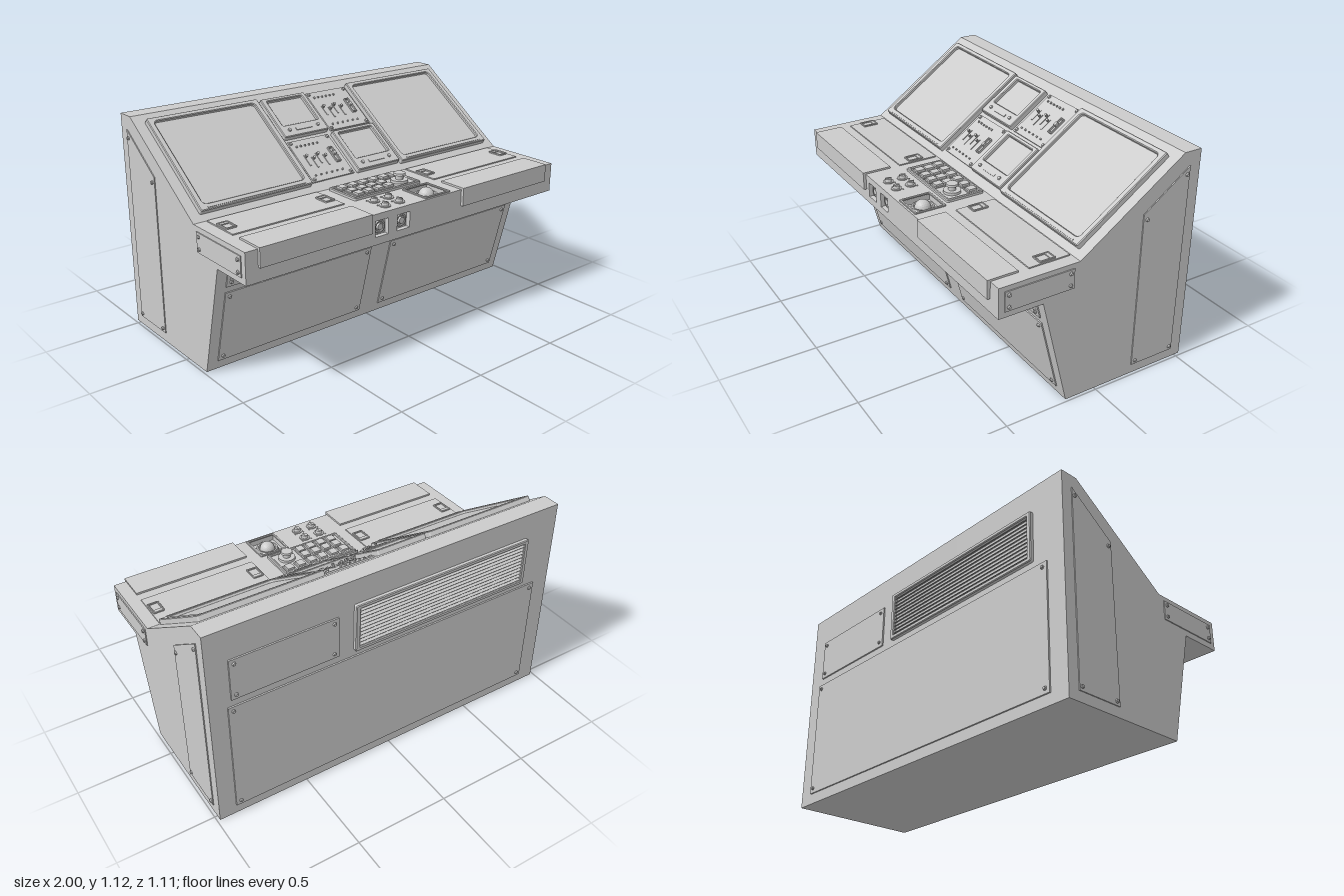
import * as THREE from 'three';

const material = new THREE.MeshStandardMaterial({ color: 0xcccccc, flatShading: true });

function add(parent, name, geometry) {
  const mesh = new THREE.Mesh(geometry, material);
  mesh.name = name;
  parent.add(mesh);
  return mesh;
}

// Box from its extents
function box(parent, name, x0, x1, y0, y1, z0, z1) {
  const mesh = add(parent, name, new THREE.BoxGeometry(x1 - x0, y1 - y0, z1 - z0));
  mesh.position.set((x0 + x1) / 2, (y0 + y1) / 2, (z0 + z1) / 2);
  return mesh;
}

// Round part standing on the local z axis
function disc(parent, name, x, y, z0, z1, r, r2 = r, sides = 20) {
  const geometry = new THREE.CylinderGeometry(r2, r, z1 - z0, sides).rotateX(Math.PI / 2);
  add(parent, name, geometry).position.set(x, y, (z0 + z1) / 2);
}

function ring(parent, name, x, y, z, r, tube) {
  add(parent, name, new THREE.TorusGeometry(r, tube, 6, 24)).position.set(x, y, z);
}

const bolt = (parent, x, y, z) => disc(parent, 'bolt', x, y, z, z + 0.008, 0.01, 0.007, 8);

// Rectangle path with rounded corners
function rounded(path, x0, x1, y0, y1, r) {
  path.moveTo(x0 + r, y0);
  for (const [cx, cy, a] of [[x1 - r, y0 + r, -0.5], [x1 - r, y1 - r, 0], [x0 + r, y1 - r, 0.5], [x0 + r, y0 + r, 1]])
    path.absarc(cx, cy, r, a * Math.PI, (a + 0.5) * Math.PI, false);
  return path;
}

// Raised frame around a rounded opening
function frame(parent, name, [x0, x1, y0, y1], [a0, a1, b0, b1], r, depth, bevel = 0.004) {
  const shape = rounded(new THREE.Shape(), x0 + bevel, x1 - bevel, y0 + bevel, y1 - bevel, 0.004);
  shape.holes.push(rounded(new THREE.Path(), a0 - bevel, a1 + bevel, b0 - bevel, b1 + bevel, r));
  add(parent, name, new THREE.ExtrudeGeometry(shape, {
    depth: depth - bevel, bevelThickness: bevel, bevelSize: bevel, bevelSegments: 1, curveSegments: 5 }));
}

// Thin plate with a bolt in every corner
function plate(parent, name, x0, x1, y0, y1, depth, inset = 0.025) {
  box(parent, name, x0, x1, y0, y1, 0, depth);
  for (const x of [x0 + inset, x1 - inset])
    for (const y of [y0 + inset, y1 - inset]) bolt(parent, x, y, depth);
}

// Group whose local z is the outward normal of one face of the cabinet
function face(root, name, x, y, z, rx, ry = 0) {
  const group = new THREE.Group();
  group.name = name;
  group.position.set(x, y, z);
  group.rotation.set(rx, ry, 0);
  root.add(group);
  return group;
}

// Cabinet extruded in slices, some with a pocket cut into the desk
function buildCabinet(root) {
  const top = [[0.54, 0.735]], front = [[0.54, 0.58]];
  const well = [[0.54, 0.735], [0.525, 0.735], [0.525, 0.7], [0.365, 0.7], [0.365, 0.735]];
  const socket = [[0.54, 0.58], [0.54, 0.62], [0.515, 0.62], [0.515, 0.70], [0.54, 0.70]];
  const slices = [[-0.985, -0.265, front, top], [-0.265, -0.185, socket, top], [-0.185, -0.13, front, top],
    [-0.13, -0.05, socket, top], [-0.05, 0.065, front, top], [0.065, 0.225, front, well], [0.225, 0.985, front, top]];
  for (const [x0, x1, lower, upper] of slices) {
    const outline = [[-0.53, 0], [0.165, 0], [0.31, 0.58], ...lower, ...upper, [0.12, 0.735], [-0.435, 1.12], [-0.53, 1.12]];
    const geometry = new THREE.ExtrudeGeometry(new THREE.Shape(outline.map(p => new THREE.Vector2(...p))),
      { depth: x1 - x0, bevelEnabled: false });
    add(root, 'cabinet', geometry.rotateY(-Math.PI / 2).translate(x1, 0, 0));
  }
}

// Small display with a button strip
function smallDisplay(parent, x0, x1, y0, y1) {
  box(parent, 'displayBack', x0 + 0.01, x1 - 0.01, y0 + 0.01, y1 - 0.01, 0, 0.01);
  frame(parent, 'displayFrame', [x0, x1, y0, y1], [x0 + 0.03, x1 - 0.025, y0 + 0.075, y1 - 0.02], 0.012, 0.028);
  for (let i = 0; i < 2; i++) disc(parent, 'displayKnob', x0 + 0.05 + i * (x1 - x0 - 0.1), y0 + 0.04, 0.026, 0.036, 0.009);
  box(parent, 'displayKeyStrip', x0 + 0.09, x1 - 0.09, y0 + 0.03, y0 + 0.045, 0.026, 0.032);
}

// Switch panel with lamps, toggles and a fader
function switchPanel(parent, x0, x1, y0, y1) {
  plate(parent, 'switchPanel', x0, x1, y0, y1, 0.008, 0.014);
  for (let i = 0; i < 6; i++) {
    disc(parent, 'lamp', x0 + 0.035 + i * 0.026, y1 - 0.04, 0.008, 0.015, 0.006, 0.005, 8);
    disc(parent, 'lamp', x0 + 0.035 + i * 0.034, y0 + 0.035, 0.008, 0.015, 0.005, 0.005, 8);
  }
  for (let i = 0; i < 4; i++) {
    const x = x0 + 0.045 + i * 0.036, y = (y0 + y1) / 2 - (i % 2) * 0.02;
    box(parent, 'toggleSlot', x - 0.004, x + 0.004, y - 0.035, y + 0.035, 0.008, 0.012);
    disc(parent, 'toggle', x, y + 0.02, 0.01, 0.03, 0.006, 0.008, 8);
  }
  const x = x1 - 0.045, y = (y0 + y1) / 2;
  frame(parent, 'faderFrame', [x - 0.016, x + 0.016, y - 0.05, y + 0.05], [x - 0.009, x + 0.009, y - 0.042, y + 0.042], 0.002, 0.018, 0.002);
  box(parent, 'fader', x - 0.008, x + 0.008, y - 0.005, y + 0.015, 0.008, 0.026);
}

function buildSlope(root) {
  const slope = face(root, 'slopingPanel', 0, 0.735, 0.12, -Math.atan2(0.555, 0.385));
  for (const s of [-1, 1]) {
    const a = s < 0 ? -0.93 : 0.295, b = a + 0.635;
    box(slope, 'screen', a + 0.01, b - 0.01, 0.05, 0.615, 0, 0.012);
    frame(slope, 'screenFrame', [a, b, 0.04, 0.625], [a + 0.03, b - 0.03, 0.075, 0.6], 0.025, 0.028);
    box(slope, 'screenLip', a + 0.04, b - 0.04, 0.05, 0.056, 0.026, 0.031);
  }
  smallDisplay(slope, -0.28, 0.0, 0.345, 0.615);
  smallDisplay(slope, 0.005, 0.285, 0.05, 0.325);
  switchPanel(slope, 0.02, 0.285, 0.345, 0.615);
  switchPanel(slope, -0.275, -0.015, 0.055, 0.325);
}

// Desk face: local y runs towards the back, so it equals -z
function buildDesk(root) {
  const desk = face(root, 'desk', 0, 0.735, 0, -Math.PI / 2);
  for (const s of [-1, 1]) {
    const a = s < 0 ? -0.92 : 0.295, b = a + 0.625;
    box(root, 'armPad', a, b, 0.65, 0.745, 0.4, 0.555);
    box(desk, 'deskHatch', a, b, -0.345, -0.13, 0, 0.006);
    for (const x of [a + 0.035, b - 0.035]) {
      frame(desk, 'hatchPull', [x - 0.03, x + 0.03, -0.285, -0.2], [x - 0.022, x + 0.022, -0.277, -0.208], 0.002, 0.014, 0.002);
      box(desk, 'hatchGrip', x - 0.022, x + 0.022, -0.225, -0.208, 0.005, 0.011);
    }
  }
  // Keypad with its push knob
  box(desk, 'keypadBase', -0.22, 0.2, -0.335, -0.14, 0, 0.008);
  frame(desk, 'keypadRim', [-0.225, 0.205, -0.34, -0.135], [-0.21, 0.19, -0.325, -0.15], 0.004, 0.016);
  const key = (x, y) => {
    box(desk, 'keySurround', x - 0.027, x + 0.027, y - 0.029, y + 0.029, 0.008, 0.013);
    box(desk, 'key', x - 0.02, x + 0.02, y - 0.022, y + 0.022, 0.013, 0.024);
  };
  for (let i = 0; i < 6; i++) key(-0.175 + i * 0.067, -0.18);
  for (let i = 0; i < 4; i++) for (const y of [-0.242, -0.295]) key(-0.165 + i * 0.064, y);
  disc(desk, 'pushKnobBase', 0.125, -0.268, 0.008, 0.022, 0.045);
  disc(desk, 'pushKnobStem', 0.125, -0.268, 0.02, 0.045, 0.02);
  disc(desk, 'pushKnobCap', 0.125, -0.268, 0.045, 0.056, 0.032, 0.03);
  // Four rotary knobs
  for (const x of [-0.155, -0.065]) for (const y of [-0.4, -0.48]) {
    disc(desk, 'knobCollar', x, y, 0, 0.005, 0.028);
    disc(desk, 'knob', x, y, 0.005, 0.02, 0.019, 0.016, 12);
    box(desk, 'knobPointer', x - 0.003, x + 0.003, y - 0.017, y + 0.017, 0.018, 0.023);
    for (const s of [-1, 1]) disc(desk, 'knobMark', x + s * 0.026, y + 0.024, 0, 0.004, 0.004, 0.004, 6);
  }
  // Tracking ball in its well
  frame(desk, 'ballWellRim', [0.06, 0.23, -0.53, -0.36], [0.072, 0.218, -0.518, -0.372], 0.004, 0.007, 0.002);
  disc(desk, 'ballSocket', 0.145, -0.445, -0.035, -0.02, 0.065, 0.06, 24);
  ring(desk, 'ballRing', 0.145, -0.445, -0.018, 0.052, 0.008);
  add(desk, 'trackingBall', new THREE.SphereGeometry(0.04, 24, 14)).position.set(0.145, -0.445, -0.02);
  // Round sockets in the front edge
  for (const x of [-0.225, -0.09]) {
    ring(root, 'socketRing', x, 0.66, 0.519, 0.028, 0.006);
    disc(root, 'socketCore', x, 0.66, 0.515, 0.528, 0.016);
    for (const dx of [-0.032, 0.032]) for (const dy of [-0.032, 0.032])
      disc(root, 'socketScrew', x + dx, 0.66 + dy, 0.515, 0.519, 0.004, 0.004, 6);
  }
}

function buildKneePanels(root) {
  const knee = face(root, 'kneePanels', 0, 0, 0.165, Math.atan2(0.145, 0.58));
  plate(knee, 'lowerPanel', -0.93, -0.065, 0.05, 0.45, 0.006);
  plate(knee, 'lowerPanel', 0.065, 0.93, 0.05, 0.45, 0.006);
  plate(knee, 'upperStrip', -0.93, 0.93, 0.483, 0.55, 0.006);
}

function buildSides(root) {
  for (const s of [-1, 1]) {
    const side = face(root, s > 0 ? 'leftSide' : 'rightSide', s * 0.985, 0, 0, 0, s * Math.PI / 2);
    const points = [[-0.22, 0.05], [-0.22, 0.87], [-0.47, 1.05], [-0.47, 0.05]].map(([z, y]) => new THREE.Vector2(-s * z, y));
    add(side, 'sidePanel', new THREE.ExtrudeGeometry(new THREE.Shape(points), { depth: 0.005, bevelEnabled: false }));
    for (const [z, y] of [[-0.24, 0.07], [-0.24, 0.84], [-0.455, 1.01], [-0.455, 0.07]]) bolt(side, -s * z, y, 0.005);
    plate(side, 'deskEndPlate', ...[-s * 0.15, -s * 0.51].sort((a, b) => a - b), 0.61, 0.71, 0.005, 0.02);
  }
}

// Back face: local x is -x of the model
function buildBack(root) {
  const back = face(root, 'backPanels', 0, 0, -0.53, 0, Math.PI);
  plate(back, 'servicePanel', -0.895, 0.885, 0.055, 0.685, 0.008);
  plate(back, 'accessPlate', -0.875, -0.315, 0.725, 0.95, 0.008);
  box(back, 'ventBack', -0.22, 0.79, 0.73, 0.975, 0, 0.003);
  frame(back, 'ventFrame', [-0.23, 0.8, 0.72, 0.985], [-0.205, 0.775, 0.742, 0.963], 0.003, 0.02);
  for (let i = 0; i < 11; i++) {
    const slat = box(back, 'ventSlat', -0.208, 0.778, 0.75 + i * 0.02, 0.754 + i * 0.02, 0, 0.018);
    slat.rotation.x = 0.6;
  }
}

export function createModel() {
  const root = new THREE.Group();
  root.name = 'controlConsole';
  buildCabinet(root);
  buildSlope(root);
  buildDesk(root);
  buildKneePanels(root);
  buildSides(root);
  buildBack(root);
  return root;
}
